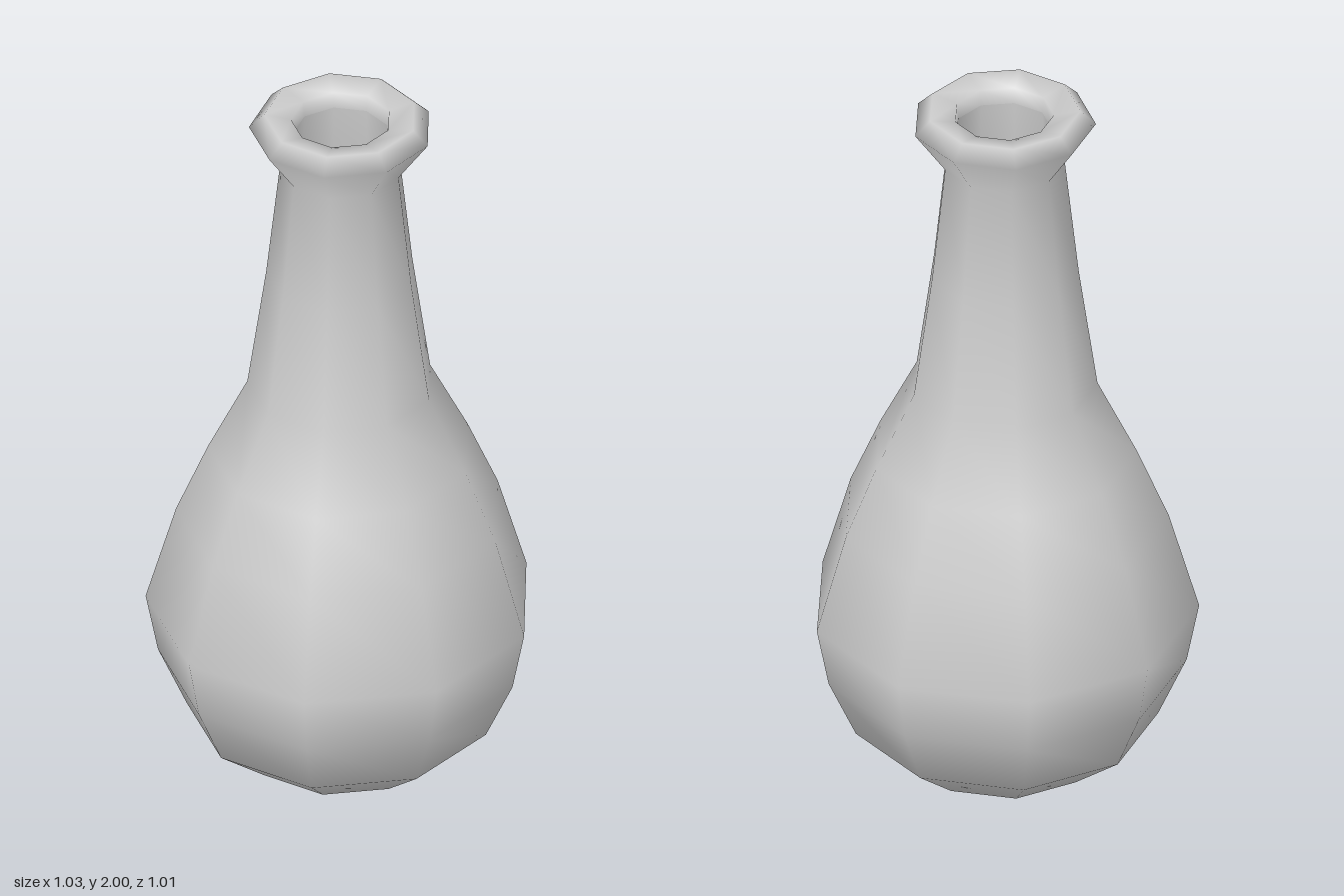
import * as THREE from 'three';

const SIDES = 9;

// Nine-sided smooth turned surface with one corner pointing to the back
function turned(name, profile, material) {
  const points = profile.map(([r, y]) => new THREE.Vector2(r, y));
  const mesh = new THREE.Mesh(new THREE.LatheGeometry(points, SIDES, Math.PI), material);
  mesh.name = name;
  return mesh;
}

export function createModel() {
  const group = new THREE.Group();
  group.name = 'vase';
  const material = new THREE.MeshStandardMaterial({ color: 0xcccccc, side: THREE.DoubleSide });

  // Closed foot, round belly, tapering neck and flared lip
  group.add(turned('outerShell', [
    [0, 0], [0.26, 0], [0.412, 0.12], [0.488, 0.29], [0.521, 0.46],
    [0.44, 0.74], [0.355, 0.94], [0.25, 1.15], [0.2, 1.5], [0.163, 1.84],
    [0.246, 1.96], [0.205, 2], [0.134, 1.985], [0.13, 1.94],
  ], material));

  // Hollow inside, from the mouth down to the floor
  group.add(turned('innerWall', [
    [0.13, 1.94], [0.134, 1.84], [0.17, 1.5], [0.22, 1.15], [0.33, 0.93],
    [0.41, 0.74], [0.485, 0.46], [0.45, 0.29], [0.38, 0.14], [0.24, 0.04], [0, 0.03],
  ], material));

  // An odd number of sides is deeper at the back, so shift to centre the outline
  for (const part of group.children) part.position.z = 0.0157;
  return group;
}
